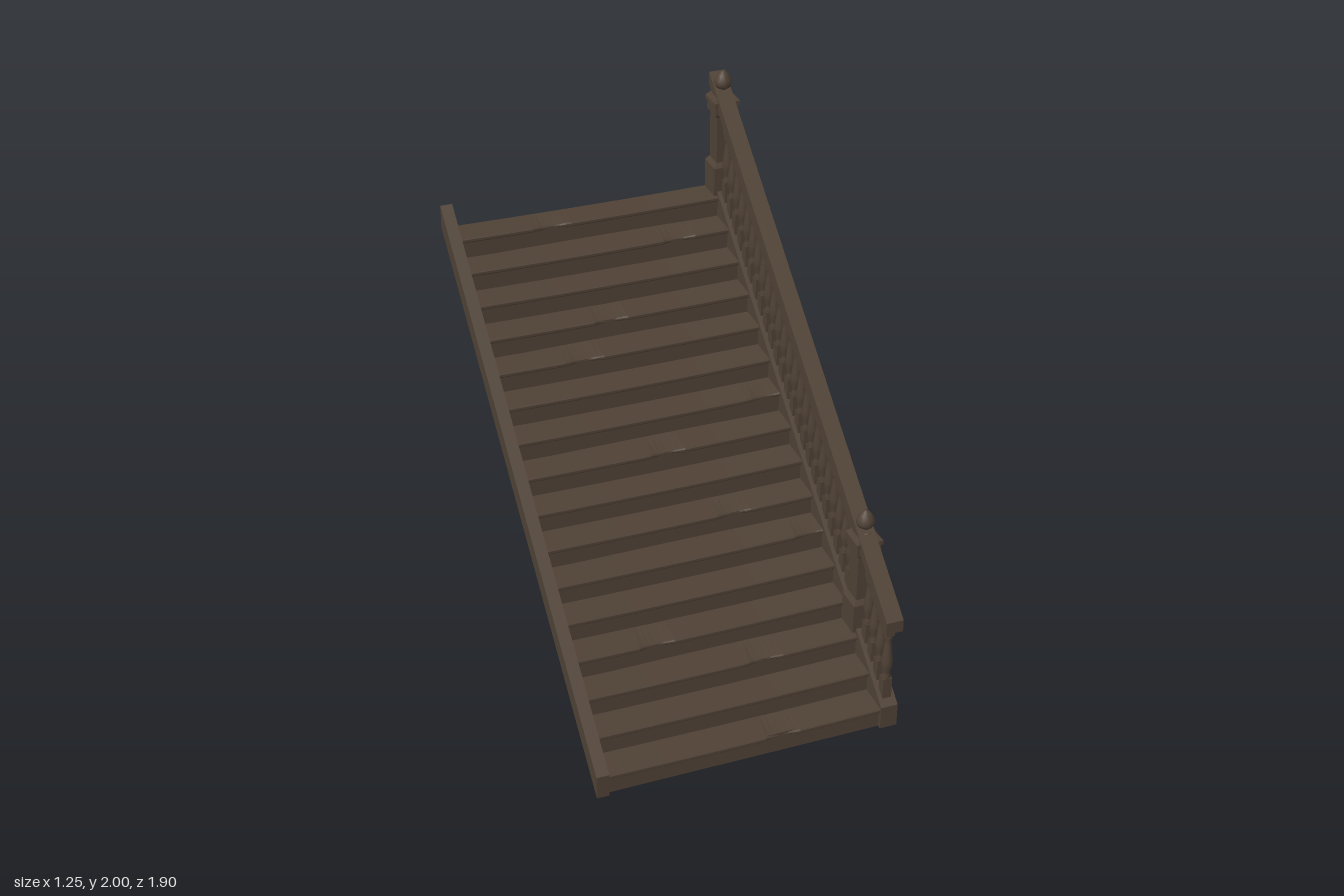
import * as THREE from 'three';

const STEPS = 16, RISE = 0.0915, RUN = 0.1181, FRONT = 0.946;
const SLOPE = 0.772, RAIL_X = 0.565, NEWEL_X = 0.57;
const stringerTop = (z) => 0.1 + (0.95 - z) * SLOPE;
const railBottom = (z) => 0.458 + (0.95 - z) * SLOPE;

export function createModel() {
  const model = new THREE.Group();
  const wood = new THREE.MeshStandardMaterial({ color: 0x4f4135 });
  wood.name = 'dark brown wood';

  const add = (parent, name, geometry, x = 0, y = 0, z = 0) => {
    const mesh = new THREE.Mesh(geometry, wood);
    mesh.name = name;
    mesh.position.set(x, y, z);
    parent.add(mesh);
    return mesh;
  };

  // Side profile, drawn as [z, y] points and extruded from x0 to x1
  const sidePiece = (name, points, x0, x1) => {
    const shape = new THREE.Shape(points.map(([z, y]) => new THREE.Vector2(-z, y)));
    const g = new THREE.ExtrudeGeometry(shape, { depth: x1 - x0, bevelEnabled: false });
    g.rotateY(Math.PI / 2);
    add(model, name, g, x0);
  };
  // Sloping beam with plumb-cut ends
  const beam = (name, x0, x1, bottom, height) => {
    const top = 1.9 * SLOPE + bottom;
    sidePiece(name, [[0.95, bottom], [-0.95, top], [-0.95, top + height], [0.95, bottom + height]], x0, x1);
  };
  beam('rightStringer', -0.63, -0.58, 0, 0.1);
  beam('handrail', 0.53, 0.6, 0.458, 0.052);

  // Stringer under the railing, with a sawtooth lower edge
  const teeth = [];
  for (let i = 0; i < STEPS; i++) {
    const z = i === 0 ? 0.95 : FRONT - i * RUN;
    const back = i === STEPS - 1 ? -0.95 : FRONT - (i + 1) * RUN;
    teeth.push([z, i * RISE], [back, i * RISE]);
  }
  sidePiece('leftStringer', [...teeth, [-0.95, stringerTop(-0.95)], [0.95, stringerTop(0.95)]], 0.53, 0.6);

  // Board across the flight; rule moves its vertices
  const WIDTH = 1.14, BOARD_X = -0.02;
  const board = (height, depth, rows, rule) => {
    const g = new THREE.BoxGeometry(WIDTH, height, depth, 48, rows, 1);
    const p = g.attributes.position;
    const v = new THREE.Vector3();
    for (let i = 0; i < p.count; i++) {
      v.fromBufferAttribute(p, i);
      v.x += BOARD_X;
      rule(v, Math.round((v.y / height + 0.5) * rows), Math.max(0, 1 - (v.x / 0.55) ** 2));
      p.setXYZ(i, v.x, v.y, v.z);
    }
    const flat = g.toNonIndexed();
    flat.computeVertexNormals();
    return flat;
  };

  // Worn tread: bevelled nosing, sagging top and a chip in the front edge
  const THICK = 0.02, NOSING = 0.013, RISER = 0.014;
  const TREAD = RUN + NOSING + RISER;
  const tread = (chip, depth) => board(THICK, depth, 3, (v, row, middle) => {
    const nick = chip === null ? 0 : Math.max(0, 1 - ((v.x - chip) / 0.07) ** 2);
    v.y = [-THICK, -THICK + 0.005, -0.005, 0][row] - 0.004 * middle;
    if (v.z > 0) {
      if (row === 0 || row === 3) v.z -= 0.004;
      v.z -= 0.013 * nick;
      if (row >= 2) v.y -= 0.008 * nick;
    }
  });
  // Riser: some have a bottom edge worn enough to leave a slit
  const riser = (worn) => board(RISE, RISER, 1, (v, row, middle) => {
    v.y = row === 1 ? RISE - 0.012 : (worn ? -0.003 + 0.004 * middle : -0.007);
  });

  const chips = [0.12, null, 0.14, -0.26, null, 0.48, 0.2, null, 0,
    0.47, null, -0.22, -0.07, null, 0.31, -0.2];
  chips.forEach((chip, i) => {
    const z = FRONT - i * RUN;
    const depth = i === STEPS - 1 ? z + 0.952 : TREAD;
    add(model, 'tread', tread(chip, depth), 0, (i + 1) * RISE, z - depth / 2);
    const r = add(model, 'riser', riser(i > 0 && i % 3 === 0), 0, i * RISE, z - NOSING - RISER / 2);
    if (i === 0) r.position.y = 0.007;
  });

  const lathe = (points, segments) =>
    new THREE.LatheGeometry(points.map(([r, y]) => new THREE.Vector2(r, y)), segments);

  // Turned balusters with square ends, two to a step
  const turned = lathe([
    [0.015, 0.075], [0.021, 0.082], [0.014, 0.092], [0.016, 0.105], [0.022, 0.135],
    [0.023, 0.155], [0.019, 0.19], [0.014, 0.235], [0.012, 0.262], [0.019, 0.272],
    [0.013, 0.282], [0.016, 0.295],
  ], 10);
  const foot = new THREE.BoxGeometry(0.037, 0.1, 0.037);
  const head = new THREE.BoxGeometry(0.035, 0.09, 0.035);
  for (let k = 0; k < 30; k++) {
    if (k === 4 || k === 5) continue; // room for the lower newel
    const z = 0.903 - k * 0.0592;
    const baluster = new THREE.Group();
    baluster.name = 'baluster';
    baluster.position.set(RAIL_X, stringerTop(z), z);
    add(baluster, 'balusterFoot', foot, 0, 0.028);
    add(baluster, 'balusterShaft', turned);
    add(baluster, 'balusterHead', head, 0, railBottom(z) - stringerTop(z) - 0.03);
    model.add(baluster);
  }

  // Square tapered block, for mouldings on the newels
  const frustum = (bottom, top, height) => {
    const g = new THREE.CylinderGeometry(top / Math.SQRT2, bottom / Math.SQRT2, height, 4);
    g.rotateY(Math.PI / 4);
    const flat = g.toNonIndexed();
    flat.computeVertexNormals();
    return flat;
  };
  const finial = lathe([
    [0.034, 0], [0.034, 0.008], [0.018, 0.014], [0.018, 0.022], [0.032, 0.032],
    [0.037, 0.046], [0.034, 0.062], [0.024, 0.082], [0.011, 0.096], [0, 0.101],
  ], 16);

  // [name, bottom width, top width, bottom y, top y]
  const newelParts = [
    ['newelBase', 0.108, 0.108, 0.283, 0.408],
    ['newelBaseBevel', 0.108, 0.08, 0.408, 0.428],
    ['newelShaft', 0.078, 0.078, 0.428, 0.67],
    ['newelCapCove', 0.082, 0.098, 0.632, 0.642],
    ['newelCap', 0.098, 0.098, 0.642, 0.682],
    ['newelCapRim', 0.11, 0.11, 0.682, 0.7],
    ['newelCapBevel', 0.11, 0.07, 0.7, 0.724],
  ];
  for (const [z, y] of [[0.638, 0], [-0.895, 1.18]]) {
    const newel = new THREE.Group();
    newel.name = 'newelPost';
    newel.position.set(NEWEL_X, y, z);
    for (const [name, b, t, y0, y1] of newelParts) {
      add(newel, name, frustum(b, t, y1 - y0), 0, (y0 + y1) / 2);
    }
    add(newel, 'newelFinial', finial, 0, 0.72);
    model.add(newel);
  }
  return model;
}
